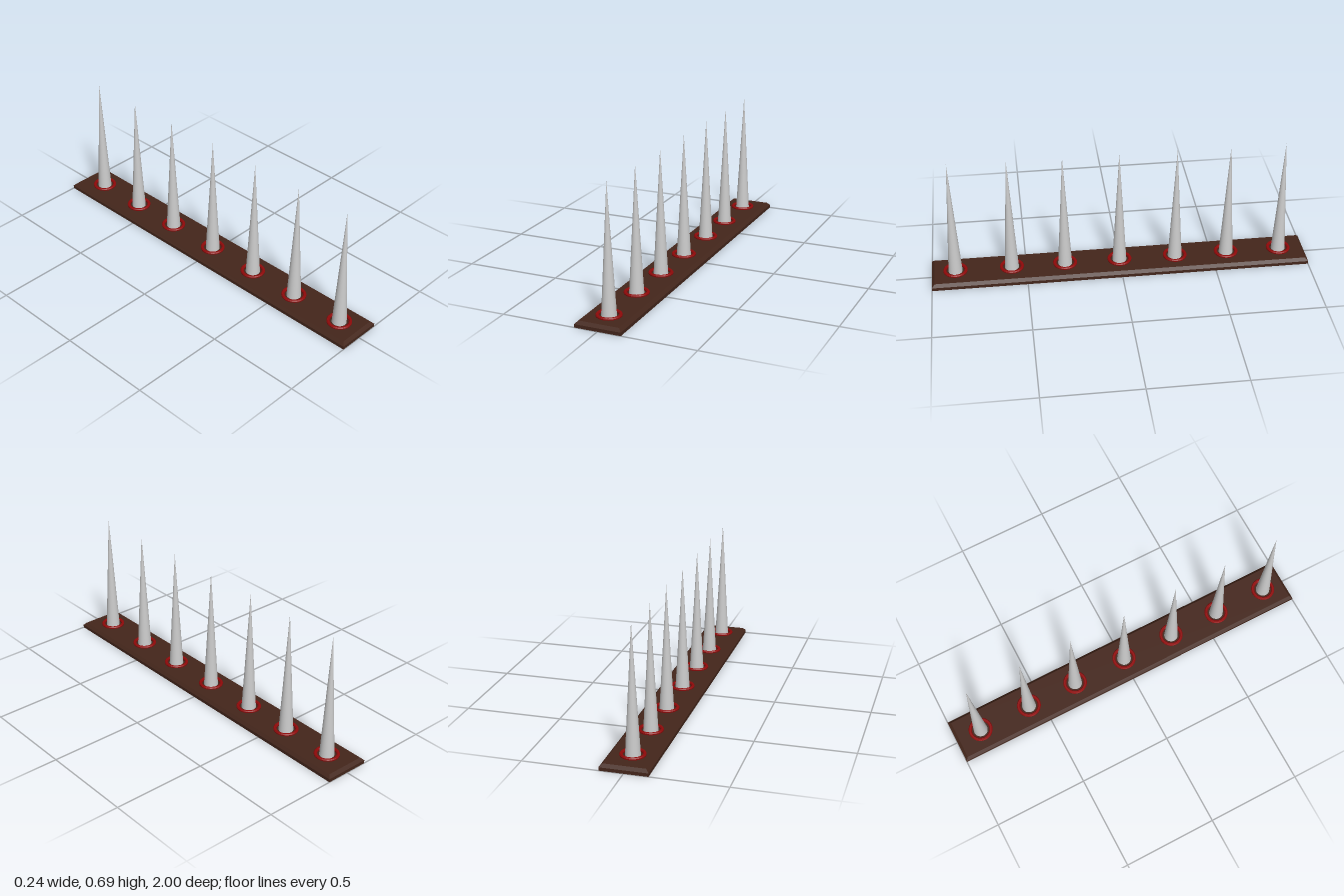
import * as THREE from 'three';

const wood = new THREE.MeshStandardMaterial({ color: 0x44261b, flatShading: true });
const red = new THREE.MeshStandardMaterial({ color: 0x8f0a0a, flatShading: true });
const metal = new THREE.MeshStandardMaterial({ color: 0xcccccc });

const BOARD_TOP = 0.032;
const TIP = 0.69;

// Plank with straight lower sides and a bevelled upper edge
function makeBoard() {
  const geometry = new THREE.BoxGeometry(0.24, BOARD_TOP, 2, 1, 2, 1);
  const p = geometry.attributes.position;
  for (let i = 0; i < p.count; i++) {
    const y = p.getY(i);
    if (y > 0.001) {
      p.setXYZ(i, p.getX(i) - Math.sign(p.getX(i)) * 0.015, BOARD_TOP, p.getZ(i) - Math.sign(p.getZ(i)) * 0.015);
    } else {
      p.setY(i, y < -0.001 ? 0 : 0.017);
    }
  }
  geometry.computeVertexNormals();
  const board = new THREE.Mesh(geometry, wood);
  board.name = 'board';
  return board;
}

// Flat collar with chamfered upper edges, open in the middle
const collarGeometry = new THREE.LatheGeometry([
  [0.047, 0.03], [0.063, 0.03], [0.064, 0.038], [0.060, 0.043],
  [0.052, 0.043], [0.047, 0.038], [0.047, 0.03],
].map(([r, y]) => new THREE.Vector2(r, y)), 32);

// Tall tapering spike, seated on the board
const spikeHeight = TIP - BOARD_TOP + 0.002;
const spikeGeometry = new THREE.ConeGeometry(0.0375, spikeHeight, 32);
spikeGeometry.translate(0, TIP - spikeHeight / 2, 0);

export function createModel() {
  const model = new THREE.Group();
  model.name = 'spikeBoard';
  model.add(makeBoard());

  // Seven spikes in a slightly uneven row
  [0.875, 0.578, 0.295, 0.004, -0.295, -0.573, -0.86].forEach((z, i) => {
    const unit = new THREE.Group();
    unit.name = `spikeUnit${i + 1}`;
    const collar = new THREE.Mesh(collarGeometry, red);
    collar.name = 'collar';
    const spike = new THREE.Mesh(spikeGeometry, metal);
    spike.name = 'spike';
    unit.add(collar, spike);
    unit.position.set(-0.002, 0, z);
    model.add(unit);
  });
  return model;
}
